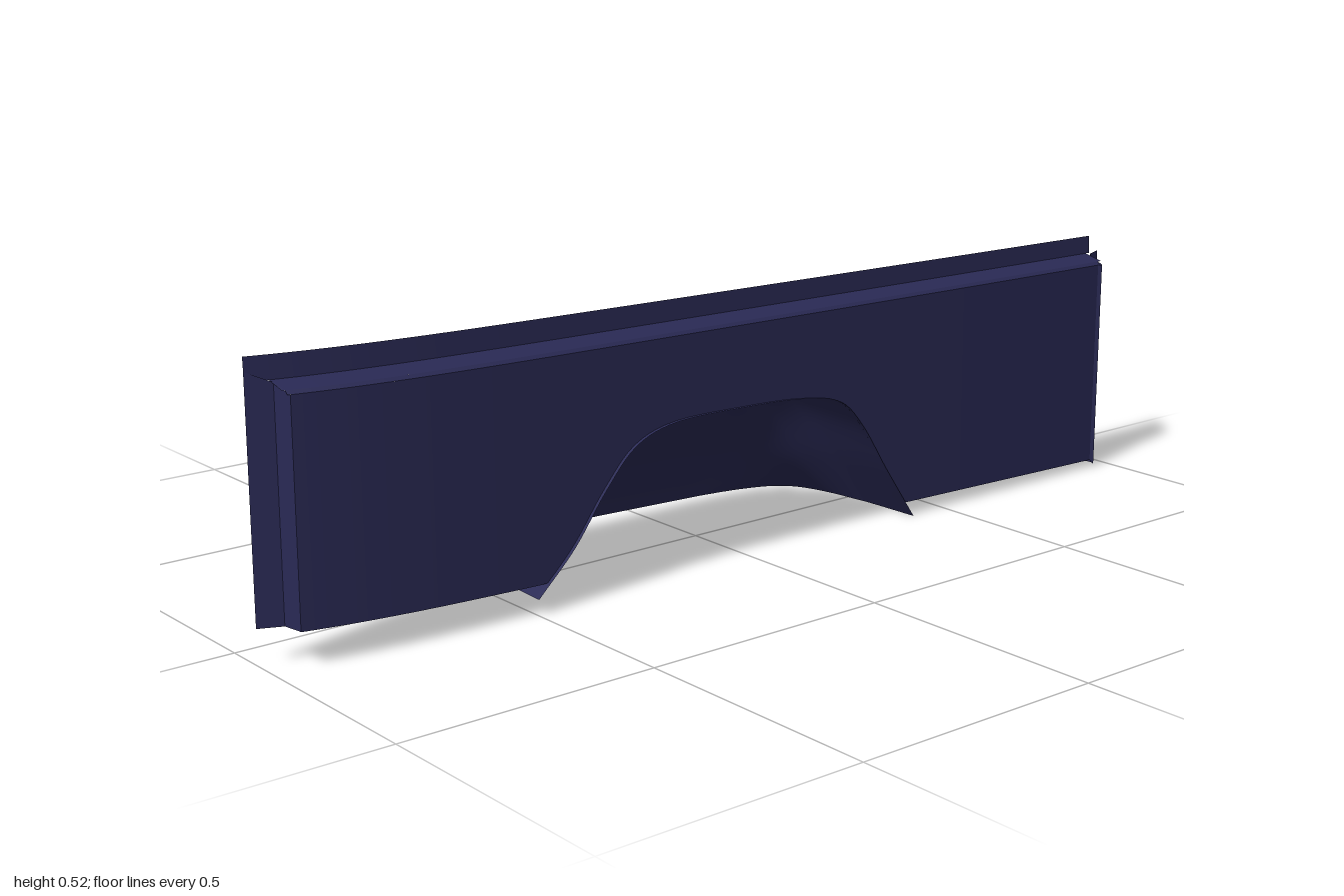
import * as THREE from 'three';

const material = new THREE.MeshStandardMaterial({ color: 0x2a2a55, side: THREE.DoubleSide });

// Skin a list of equal-length rows of [x, y, z] points
function loft(name, rows, flat = false) {
  const n = rows[0].length;
  const index = [];
  for (let i = 0; i < rows.length - 1; i++) {
    for (let j = 0; j < n - 1; j++) {
      const a = i * n + j, b = a + n;
      index.push(a, b, a + 1, b, b + 1, a + 1);
    }
  }
  let geometry = new THREE.BufferGeometry();
  geometry.setAttribute('position', new THREE.Float32BufferAttribute(rows.flat(2), 3));
  geometry.setIndex(index);
  if (flat) geometry = geometry.toNonIndexed();
  geometry.computeVertexNormals();
  const mesh = new THREE.Mesh(geometry, material);
  mesh.name = name;
  return mesh;
}

const smooth = (points, count) =>
  new THREE.CatmullRomCurve3(points.map(p => new THREE.Vector3(...p)), false, 'centripetal').getPoints(count);

// Wheel opening, from its -x foot over the top to its +x foot
const arch = smooth([
  [-0.5, 0.03, 0], [-0.42, 0.108, 0], [-0.35, 0.2, 0], [-0.285, 0.267, 0], [-0.21, 0.295, 0],
  [-0.03, 0.298, 0], [0.13, 0.288, 0], [0.215, 0.267, 0], [0.265, 0.22, 0], [0.34, 0.108, 0], [0.415, 0, 0],
], 60);

function archHeight(x) {
  for (let i = 0; i < arch.length - 1; i++) {
    const a = arch[i], b = arch[i + 1];
    if (x >= a.x && x <= b.x) return a.y + (b.y - a.y) * (x - a.x) / (b.x - a.x);
  }
  return 0;
}

// The panel slopes down to +x and curls back at -x
const panelZ = x => 0.171 - 0.005 * x * x - 0.038 * Math.max(0, (-x - 0.3) / 0.7) ** 4;
const bottomY = x => 0.04 - 0.026 * x;
const foldY = x => 0.452 - 0.015 * x;
const ledgeY = x => foldY(x) + 0.013;
const flangeY = x => 0.507 - 0.018 * x;

function strip(name, x0, x1, lower, upper) {
  const rows = [];
  for (let i = 0; i <= 160; i++) {
    const x = x0 + (x1 - x0) * i / 160;
    rows.push([lower(x), upper(x)]);
  }
  return loft(name, rows);
}

export function createModel() {
  const group = new THREE.Group();
  group.name = 'fenderPanel';

  // Outer skin with the wheel opening, ledge and upright flange
  const skinBottom = x => [x, Math.max(bottomY(x), archHeight(x)), panelZ(x)];
  const fold = x => [x, foldY(x), panelZ(x)];
  const bevel = x => [x, foldY(x) + 0.006, panelZ(x) - 0.006];
  const ledgeBack = x => [x, ledgeY(x) + 0.003, panelZ(x) - 0.048];
  const flangeTop = x => [x, flangeY(x), panelZ(x) - 0.05];
  group.add(
    strip('outerSkin', -0.95, 0.95, skinBottom, fold),
    strip('foldBevel', -0.955, 0.955, fold, bevel),
    strip('topLedge', -0.96, 0.965, bevel, ledgeBack),
    strip('topFlange', -1, 0.975, ledgeBack, flangeTop),
  );

  // Stepped end flanges: [x, z, bottom, top]
  const jamb = (name, points) => group.add(
    loft(name, points.map(([x, z, y0, y1]) => [[x, y0, z], [x, y1, z]]), true));
  jamb('rightEndFlange', [
    [-0.95, panelZ(-0.95), 0.065, 0.466], [-0.957, 0.098, 0.065, 0.48], [-1, 0.079, 0.065, 0.5],
  ]);
  jamb('leftEndFlange', [
    [0.95, panelZ(0.95), 0.015, 0.438], [0.957, 0.171, 0.006, 0.438], [0.966, 0.16, 0.005, 0.438],
    [0.968, 0.133, 0.004, 0.443], [0.976, 0.121, 0.003, 0.452], [1, 0.119, 0.003, 0.456],
  ]);

  // Wheel well: the opening shrinks towards the back, [z, width, height]
  const depth = smooth([
    [0.172, 1, 1], [0.05, 0.985, 1], [0.02, 0.975, 0.985], [0, 0.97, 0.95], [-0.03, 0.96, 0.87],
    [-0.06, 0.945, 0.74], [-0.1, 0.915, 0.545], [-0.13, 0.87, 0.37], [-0.155, 0.78, 0.2],
    [-0.17, 0.63, 0.08], [-0.177, 0.45, 0],
  ], 48);
  const base = x => 0.0137 - 0.033 * x;
  const centre = -0.0425;
  group.add(loft('wheelWell', depth.map(d => arch.map(p => {
    const x = centre + (p.x - centre) * d.y;
    return [x, Math.max(0, base(x) + (p.y - base(p.x)) * d.z), d.x];
  }))));

  // Narrow lip standing proud around the opening
  group.add(loft('archLip', [0.165, 0.178].map(z => arch.map(p => [p.x, p.y, z]))));
  return group;
}
